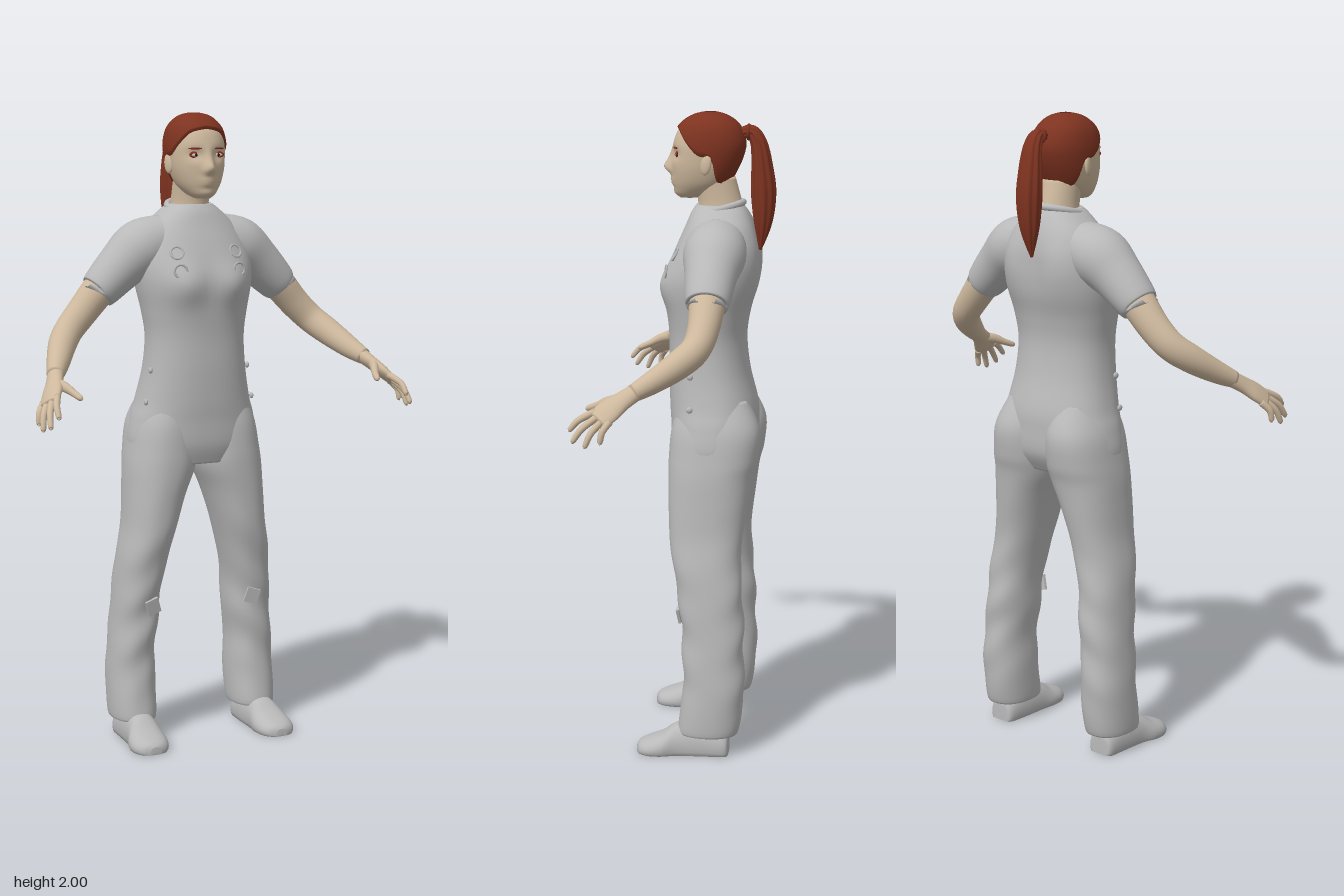
import * as THREE from 'three';

const V = (x, y, z) => new THREE.Vector3(x, y, z);
const mat = (name, color, side = THREE.FrontSide) => {
  const m = new THREE.MeshStandardMaterial({ color, side });
  m.name = name;
  return m;
};

// Catmull-Rom interpolation of every column in a short table of cross-sections
function smooth(rings, n = 6) {
  const out = [];
  for (let i = 0; i < rings.length - 1; i++) {
    const [a, b, c, d] = [rings[Math.max(i - 1, 0)], rings[i], rings[i + 1], rings[Math.min(i + 2, rings.length - 1)]];
    for (let k = 0; k < n; k++) {
      const t = k / n;
      out.push(b.map((_, j) => b[j] + 0.5 * t * (c[j] - a[j] + t * (2 * a[j] - 5 * b[j] + 4 * c[j] - d[j]
        + t * (3 * (b[j] - c[j]) + d[j] - a[j])))));
    }
  }
  out.push(rings[rings.length - 1]);
  return out;
}

// Skin closed loops of points into one smooth surface, always facing outward
function loft(rows, caps = true) {
  const n = rows[0].length, pts = rows.flat(), idx = [];
  for (let i = 0; i < rows.length - 1; i++) for (let j = 0; j < n; j++) {
    const a = i * n + j, b = i * n + (j + 1) % n;
    idx.push(a, b, a + n, b, b + n, a + n);
  }
  if (caps) [0, rows.length - 1].forEach((r, e) => {
    const c = rows[r].reduce((s, p) => s.add(p), V(0, 0, 0)).divideScalar(n);
    pts.push(c);
    for (let j = 0; j < n; j++) {
      const a = r * n + j, b = r * n + (j + 1) % n;
      e ? idx.push(a, b, pts.length - 1) : idx.push(b, a, pts.length - 1);
    }
  });
  const mid = pts.reduce((s, p) => s.add(p), V(0, 0, 0)).divideScalar(pts.length);
  let vol = 0;
  for (let i = 0; i < idx.length; i += 3) {
    const [a, b, c] = [0, 1, 2].map(k => pts[idx[i + k]].clone().sub(mid));
    vol += a.dot(b.cross(c));
  }
  if (vol < 0) idx.reverse();
  const g = new THREE.BufferGeometry().setFromPoints(pts);
  g.setIndex(idx);
  g.computeVertexNormals();
  return g;
}

// Horizontal slices [y, xMin, xMax, zBack, zFront]; angle 0 faces the front
const pw = (v, p) => Math.sign(v) * Math.abs(v) ** (2 / p);
const slicePoint = ([y, x0, x1, z0, z1], a, p) =>
  V((x0 + x1) / 2 + (x1 - x0) / 2 * pw(Math.sin(a), p), y, (z0 + z1) / 2 + (z1 - z0) / 2 * pw(Math.cos(a), p));
function slices(table, p, bump = () => 0, seg = 48) {
  return loft(table.map(r => Array.from({ length: seg }, (_, j) => {
    const q = slicePoint(r, j / seg * Math.PI * 2, p);
    q.z += bump(q);
    return q;
  })));
}
function sliceAt(table, y) {
  const i = Math.max(1, table.findIndex(r => r[0] >= y)), a = table[i - 1], b = table[i];
  const t = (y - a[0]) / (b[0] - a[0]);
  return a.map((v, j) => v + (b[j] - v) * t);
}
function frontZ(table, p, bump, x, y) {
  const [, x0, x1, z0, z1] = sliceAt(table, y);
  const u = Math.min(1, Math.abs((x - (x0 + x1) / 2) / ((x1 - x0) / 2)));
  const z = (z0 + z1) / 2 + (z1 - z0) / 2 * (1 - u ** p) ** (1 / p);
  return z + bump(V(x, y, z));
}

// Limb along a path of [x, y, z, radius along side, radius across]
function limb(path, s = 1, side = V(0, 0, 1), seg = 20, ridge = 0) {
  const rs = smooth(path.map(r => [r[0] * s, ...r.slice(1)]), 5), at = i => V(...rs[i].slice(0, 3));
  return loft(rs.map((r, i) => {
    const t = at(Math.min(i + 1, rs.length - 1)).sub(at(Math.max(i - 1, 0))).normalize();
    const u = V(side.x * s, side.y, side.z);
    u.addScaledVector(t, -u.dot(t)).normalize();
    const w = t.clone().cross(u);
    return Array.from({ length: seg }, (_, j) => {
      const a = j / seg * Math.PI * 2, k = 1 + ridge * Math.cos(a * 9 + i * 0.05);
      return at(i).addScaledVector(u, r[3] * k * Math.cos(a)).addScaledVector(w, r[4] * k * Math.sin(a));
    });
  }));
}

const gauss = (d, s) => Math.exp(-d * d / (2 * s * s));
const sym = rows => smooth(rows.map(([y, w, b, f]) => [y, -w, w, b, f]));

export function createModel() {
  const model = new THREE.Group();
  const suit = mat('grey cloth', 0xb9b9b9), skin = mat('skin', 0xcdb89d);
  const hair = mat('auburn hair', 0x7e3320, THREE.DoubleSide);
  const lash = mat('red lashes', 0x8a2c1e), white = mat('eye white', 0xd8d0c8), dark = mat('dark pupil', 0x2a1a16);
  const add = (name, geo, m, pos, scale) => {
    const o = new THREE.Mesh(geo, m);
    o.name = name;
    if (pos) o.position.set(...pos);
    if (scale) o.scale.set(...scale);
    model.add(o);
    return o;
  };

  // Torso of the suit, with bust, shoulder blades and spine groove
  const torso = sym([[0.9, 0.19, -0.19, 0.025], [0.96, 0.217, -0.224, 0.042], [1.04, 0.205, -0.228, 0.046],
    [1.1, 0.187, -0.224, 0.05], [1.2, 0.167, -0.2, 0.053], [1.3, 0.16, -0.19, 0.053], [1.38, 0.17, -0.2, 0.058],
    [1.45, 0.184, -0.217, 0.062], [1.5, 0.19, -0.222, 0.058], [1.55, 0.188, -0.222, 0.044], [1.6, 0.172, -0.22, 0.025],
    [1.65, 0.142, -0.21, 0.003], [1.69, 0.1, -0.193, -0.014], [1.715, 0.068, -0.175, -0.03]]);
  const chest = q => {
    const x = Math.abs(q.x);
    return q.z > -0.08 ? 0.022 * gauss(x - 0.085, 0.045) * gauss(q.y - 1.47, 0.045)
      : -0.016 * gauss(x - 0.1, 0.05) * gauss(q.y - 1.55, 0.07) + 0.008 * gauss(x, 0.025) * gauss(q.y - 1.4, 0.15);
  };
  add('suitTorso', slices(torso, 2.3, chest, 64), suit);
  const collar = add('collar', new THREE.TorusGeometry(0.072, 0.011, 10, 40), suit, [0, 1.703, -0.1], [1, 1.05, 1]);
  collar.rotation.x = Math.PI / 2 + 0.25;

  // Head, with nose, sockets, lips and chin raised from the face
  const head = sym([[1.735, 0.024, -0.035, 0.02], [1.75, 0.045, -0.08, 0.033], [1.78, 0.067, -0.125, 0.041],
    [1.82, 0.081, -0.15, 0.045], [1.86, 0.087, -0.168, 0.046], [1.9, 0.088, -0.176, 0.042], [1.94, 0.08, -0.165, 0.028],
    [1.965, 0.064, -0.145, 0.005], [1.982, 0.042, -0.115, -0.025], [1.99, 0.012, -0.085, -0.06]]);
  const face = q => {
    if (q.z < -0.04) return 0;
    const x = Math.abs(q.x), y = q.y;
    return 0.022 * gauss(x, 0.011) * gauss(y - 1.828, 0.014) + 0.01 * gauss(x, 0.009) * gauss(y - 1.855, 0.02)
      + 0.006 * gauss(x - 0.014, 0.007) * gauss(y - 1.82, 0.009) - 0.011 * gauss(x - 0.038, 0.018) * gauss(y - 1.87, 0.013)
      + 0.007 * gauss(x, 0.018) * (gauss(y - 1.793, 0.006) + gauss(y - 1.779, 0.006)) + 0.006 * gauss(x, 0.02) * gauss(y - 1.75, 0.01);
  };
  add('head', slices(head, 2.2, face, 96), skin);
  add('neck', slices(sym([[1.66, 0.07, -0.19, -0.03], [1.72, 0.059, -0.172, -0.035], [1.8, 0.058, -0.15, -0.02]]), 2), skin);

  // Hair cap: rises from a hairline that drops from forehead to nape
  const line = smooth([[0, 1.948], [0.6, 1.936], [1, 1.905], [1.4, 1.868], [1.75, 1.855], [2.05, 1.8], [2.5, 1.768], [3.15, 1.76]]);
  const hub = V(0, 1.86, -0.07), capRows = [];
  for (let i = 0; i <= 24; i++) capRows.push(Array.from({ length: 72 }, (_, j) => {
    const a = j / 72 * Math.PI * 2, low = sliceAt(line, Math.min(a, Math.PI * 2 - a) + 1e-4)[1];
    const y = low + (1.9895 - low) * Math.sin(i / 24 * Math.PI / 2);
    return slicePoint(sliceAt(head, y), a, 2.2).sub(hub).multiplyScalar(i ? 1.065 : 0.985).add(hub);
  }));
  add('hairCap', loft(capRows, false), hair);
  add('ponytail', limb([[0, 1.93, -0.165, 0.018, 0.018], [0, 1.937, -0.2, 0.022, 0.02], [0, 1.9, -0.222, 0.03, 0.025],
    [0, 1.83, -0.232, 0.037, 0.032], [0, 1.75, -0.237, 0.038, 0.037], [0, 1.66, -0.236, 0.028, 0.027],
    [0, 1.575, -0.228, 0.004, 0.004]], 1, V(1, 0, 0), 54, 0.07), hair);
  add('hairTie', new THREE.TorusGeometry(0.02, 0.006, 8, 20), hair, [0, 1.936, -0.19]);

  const ball = new THREE.SphereGeometry(1, 20, 14), breadth = V(0.45, -0.4, -0.75);
  for (const s of [1, -1]) {
    const side = s > 0 ? 'left' : 'right';

    // Eyes, brows and ears
    const onFace = (x, y, d) => [x * s, y, frontZ(head, 2.2, face, x, y) + d];
    add(side + 'EyeRim', ball, lash, onFace(0.038, 1.87, -0.001), [0.021, 0.0105, 0.005]);
    add(side + 'EyeWhite', ball, white, onFace(0.038, 1.869, 0.001), [0.015, 0.006, 0.005]);
    add(side + 'Pupil', ball, dark, onFace(0.038, 1.869, 0.004), [0.005, 0.005, 0.003]);
    add(side + 'Brow', ball, lash, onFace(0.04, 1.889, 0), [0.022, 0.003, 0.004]).rotation.y = s * 0.35;
    const ear = add(side + 'Ear', ball, skin, [0.087 * s, 1.842, -0.068], [0.009, 0.032, 0.018]);
    ear.rotation.set(-0.15, s * -0.35, 0);

    // Short sleeve, with its hem turned in around the arm
    add(side + 'Sleeve', limb([[0.08, 1.61, -0.105, 0.085, 0.075], [0.165, 1.577, -0.105, 0.096, 0.092],
      [0.235, 1.525, -0.102, 0.08, 0.077], [0.312, 1.451, -0.1, 0.066, 0.061], [0.314, 1.45, -0.1, 0.05, 0.048]], s, V(0, 0, 1), 32), suit);

    // Bare arm, palm and fingers
    add(side + 'Arm', limb([[0.26, 1.505, -0.1, 0.053, 0.053], [0.315, 1.45, -0.1, 0.054, 0.053], [0.37, 1.387, -0.096, 0.048, 0.049],
      [0.42, 1.335, -0.08, 0.044, 0.046], [0.46, 1.295, -0.035, 0.042, 0.044], [0.5, 1.25, 0.035, 0.034, 0.036],
      [0.53, 1.22, 0.09, 0.026, 0.026]], s, V(0, 0, 1), 24), skin);
    add(side + 'Palm', limb([[0.522, 1.228, 0.075, 0.026, 0.024], [0.545, 1.2, 0.12, 0.031, 0.02],
      [0.565, 1.175, 0.155, 0.039, 0.018], [0.585, 1.15, 0.185, 0.037, 0.012]], s, breadth, 20), skin);
    const tips = [[0.586, 1.118, 0.27], [0.608, 1.088, 0.258], [0.618, 1.076, 0.22], [0.615, 1.088, 0.175]];
    tips.forEach((t, i) => {
      const k = V(0.576, 1.16, 0.172).addScaledVector(breadth, -0.029 + 0.02 * i), e = V(...t);
      const m = k.clone().lerp(e, 0.55).add(V(0.006, 0.007, 0.004));
      const tip = k.clone().lerp(e, 0.94);
      add(side + 'Finger' + (i + 1), limb([[...k, 0.011, 0.011], [...m, 0.01, 0.01], [...tip, 0.008, 0.008], [...e, 0.002, 0.002]]
        , 1, V(0.3, -0.4, -0.8), 12).scale(s, 1, 1), skin);
      if (s < 0) model.children.at(-1).geometry.index.array.reverse(), model.children.at(-1).geometry.computeVertexNormals();
    });
    add(side + 'Thumb', limb([[0.545, 1.203, 0.115, 0.018, 0.016], [0.528, 1.195, 0.16, 0.016, 0.014], [0.512, 1.18, 0.195, 0.011, 0.011],
      [0.502, 1.168, 0.225, 0.009, 0.009], [0.499, 1.164, 0.234, 0.002, 0.002]], s, V(0, 1, 0), 12), skin);

    // Trouser leg with soft folds, its hem turned in above the shoe
    const leg = smooth([[1.12, 0.02, 0.165, -0.2, 0.01], [1.03, 0.004, 0.205, -0.241, 0.034], [0.94, 0, 0.221, -0.237, 0.042],
      [0.88, 0.008, 0.228, -0.222, 0.043], [0.8, 0.042, 0.232, -0.21, 0.04], [0.7, 0.074, 0.238, -0.196, 0.035],
      [0.6, 0.1, 0.255, -0.191, 0.02], [0.5, 0.12, 0.265, -0.199, 0.002], [0.4, 0.125, 0.272, -0.203, -0.009],
      [0.3, 0.138, 0.28, -0.205, -0.014], [0.2, 0.135, 0.286, -0.207, -0.014], [0.075, 0.14, 0.284, -0.19, 0.002],
      [0.078, 0.155, 0.268, -0.17, -0.02]]).map(([y, a, b, c, d]) => s > 0 ? [y, a, b, c, d] : [y, -b, -a, c, d]);
    add(side + 'TrouserLeg', slices(leg, 2.25, q => 0.004 * Math.sin(q.y * 42 + q.x * s * 30) * gauss(q.y - 0.4, 0.17)), suit);

    // Shoe with a flat sole, lofted from heel to toe
    const shoe = smooth([[-0.16, 0.214, 0.02, 0.045], [-0.15, 0.214, 0.044, 0.075], [-0.08, 0.213, 0.05, 0.1], [0, 0.215, 0.053, 0.095],
      [0.05, 0.22, 0.063, 0.064], [0.09, 0.222, 0.06, 0.048], [0.118, 0.222, 0.043, 0.036], [0.13, 0.222, 0.018, 0.024]]);
    add(side + 'Shoe', loft(shoe.map(([z, cx, w, h]) => Array.from({ length: 28 }, (_, j) => {
      const a = j / 28 * Math.PI * 2;
      return V(s * (cx + w * pw(Math.cos(a), 2.4)), h * Math.max(0, (Math.sin(a) + 0.4) / 1.4), z);
    }))), suit);

    // Chest clasps, hip studs and knee patch
    for (const y of [1.515, 1.57]) {
      const c = add(side + 'ChestClasp', new THREE.TorusGeometry(0.02, 0.004, 6, 16), suit,
        [0.1 * s, y, frontZ(torso, 2.3, chest, 0.1, y) + 0.001], [1, 1, 0.8]);
      c.rotation.set(y > 1.54 ? -0.45 : -0.1, s * 0.2, 0);
    }
    for (const [x, y] of [[0.168, 1.2], [0.184, 1.1]]) add(side + 'HipStud', ball, suit, [x * s, y, -0.03], [0.006, 0.01, 0.01]);
    const patch = add(side + 'KneePatch', new THREE.BoxGeometry(0.045, 0.05, 0.009), suit, [0.175 * s, 0.445, 0], [1, 1, 1]);
    patch.rotation.set(0.1, s * -0.15, s * -0.3);
  }
  return model;
}
